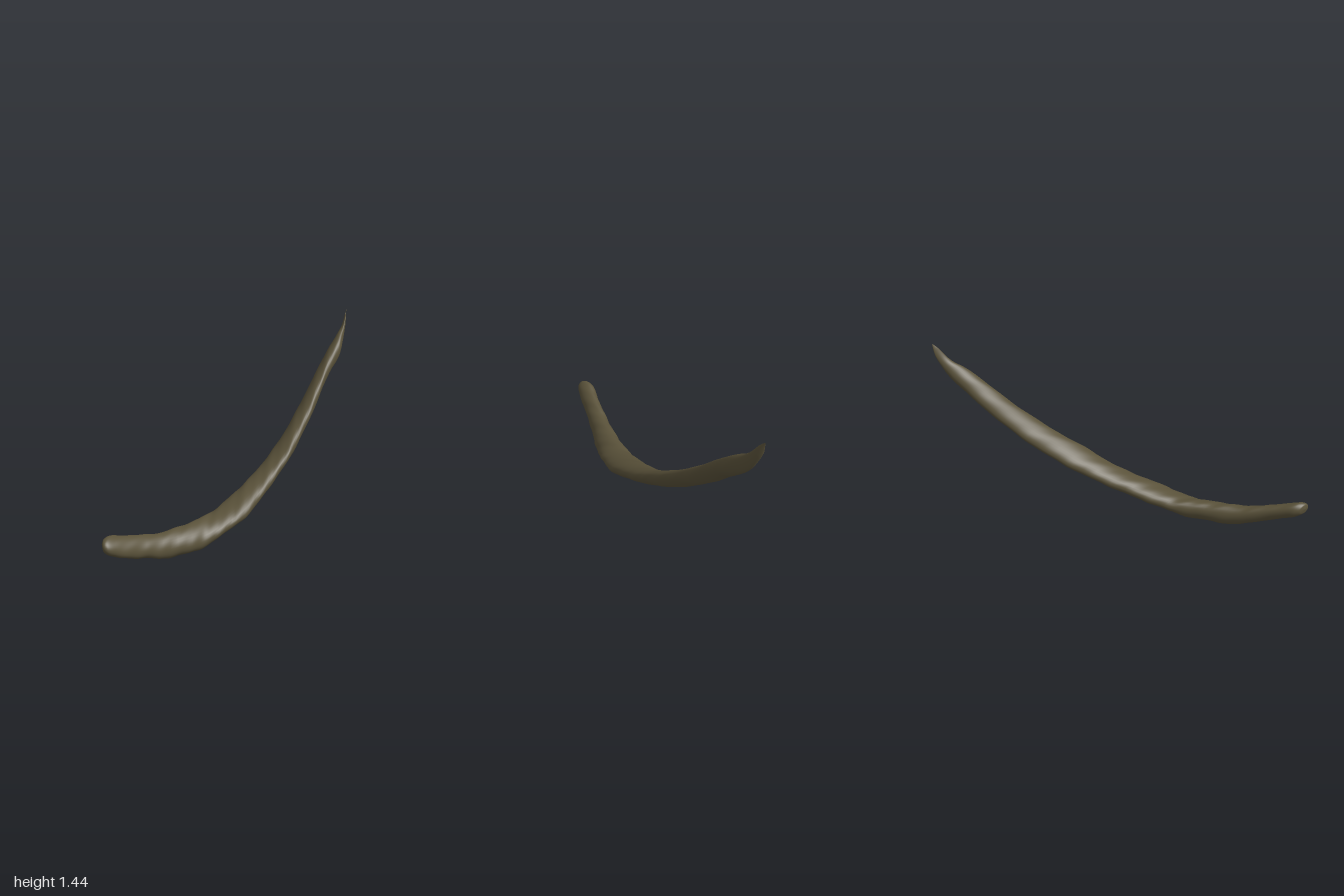
import * as THREE from 'three';

// Stations along the body: centre x, y, z, then half height, half depth and
// lean (how far the oval section is sheared in the y-z plane).
const STATIONS = [
  [-1.0, 0.245, 0.915, 0, 0, 0],
  [-0.99, 0.24, 0.913, 0.036, 0.05, 0],
  [-0.96, 0.23, 0.9, 0.056, 0.075, -0.05],
  [-0.9, 0.205, 0.865, 0.066, 0.08, -0.15],
  [-0.8, 0.165, 0.79, 0.07, 0.08, -0.2],
  [-0.7, 0.13, 0.715, 0.074, 0.086, -0.15],
  [-0.6, 0.098, 0.64, 0.084, 0.092, -0.15],
  [-0.4, 0.092, 0.505, 0.088, 0.115, -0.28],
  [-0.3, 0.097, 0.43, 0.088, 0.13, -0.35],
  [-0.2, 0.13, 0.35, 0.071, 0.145, -0.4],
  [0.0, 0.215, 0.19, 0.08, 0.163, -0.5],
  [0.2, 0.345, -0.02, 0.075, 0.153, -0.47],
  [0.4, 0.522, -0.235, 0.081, 0.155, -0.38],
  [0.6, 0.76, -0.485, 0.085, 0.135, -0.42],
  [0.8, 1.045, -0.725, 0.085, 0.095, -0.3],
  [0.9, 1.167, -0.815, 0.085, 0.083, -0.35],
  [0.95, 1.25, -0.89, 0.068, 0.047, -0.3],
  [0.985, 1.36, -0.95, 0.046, 0.025, -0.2],
  [1.0, 1.44, -0.98, 0, 0, 0],
];
const STEPS = 8;
const SIDES = 32;

function createBody() {
  const spine = new THREE.CatmullRomCurve3(
    STATIONS.map((s) => new THREE.Vector3(s[0], s[1], s[2])));
  const section = new THREE.CatmullRomCurve3(
    STATIONS.map((s) => new THREE.Vector3(s[3], s[4], s[5])));
  const rings = (STATIONS.length - 1) * STEPS;
  const positions = [];
  const indices = [];

  for (let i = 0; i <= rings; i++) {
    const c = spine.getPoint(i / rings);
    const s = section.getPoint(i / rings);
    const lean = s.z;
    const upright = Math.sqrt(1 - lean * lean);
    for (let j = 0; j < SIDES; j++) {
      const a = (j / SIDES) * Math.PI * 2;
      // Gentle lumps in the skin
      const lump = 1 + 0.025 * Math.sin(c.x * 31 + 2 * Math.sin(a))
        + 0.015 * Math.sin(c.x * 57 + 3 * a);
      const u = Math.cos(a) * lump;
      const v = (lean * Math.cos(a) + upright * Math.sin(a)) * lump;
      positions.push(c.x, c.y + Math.max(s.x, 0) * u, c.z + Math.max(s.y, 0) * v);
      if (i < rings) {
        const k = (j + 1) % SIDES;
        const p = i * SIDES + j;
        const q = i * SIDES + k;
        indices.push(p, q, p + SIDES, q, q + SIDES, p + SIDES);
      }
    }
  }

  const geometry = new THREE.BufferGeometry();
  geometry.setAttribute('position', new THREE.Float32BufferAttribute(positions, 3));
  geometry.setIndex(indices);
  geometry.computeVertexNormals();
  return geometry;
}

export function createModel() {
  const group = new THREE.Group();
  group.name = 'curvedPod';
  const body = new THREE.Mesh(
    createBody(), new THREE.MeshStandardMaterial({ color: 0x5a523a }));
  body.name = 'body';
  group.add(body);
  return group;
}
